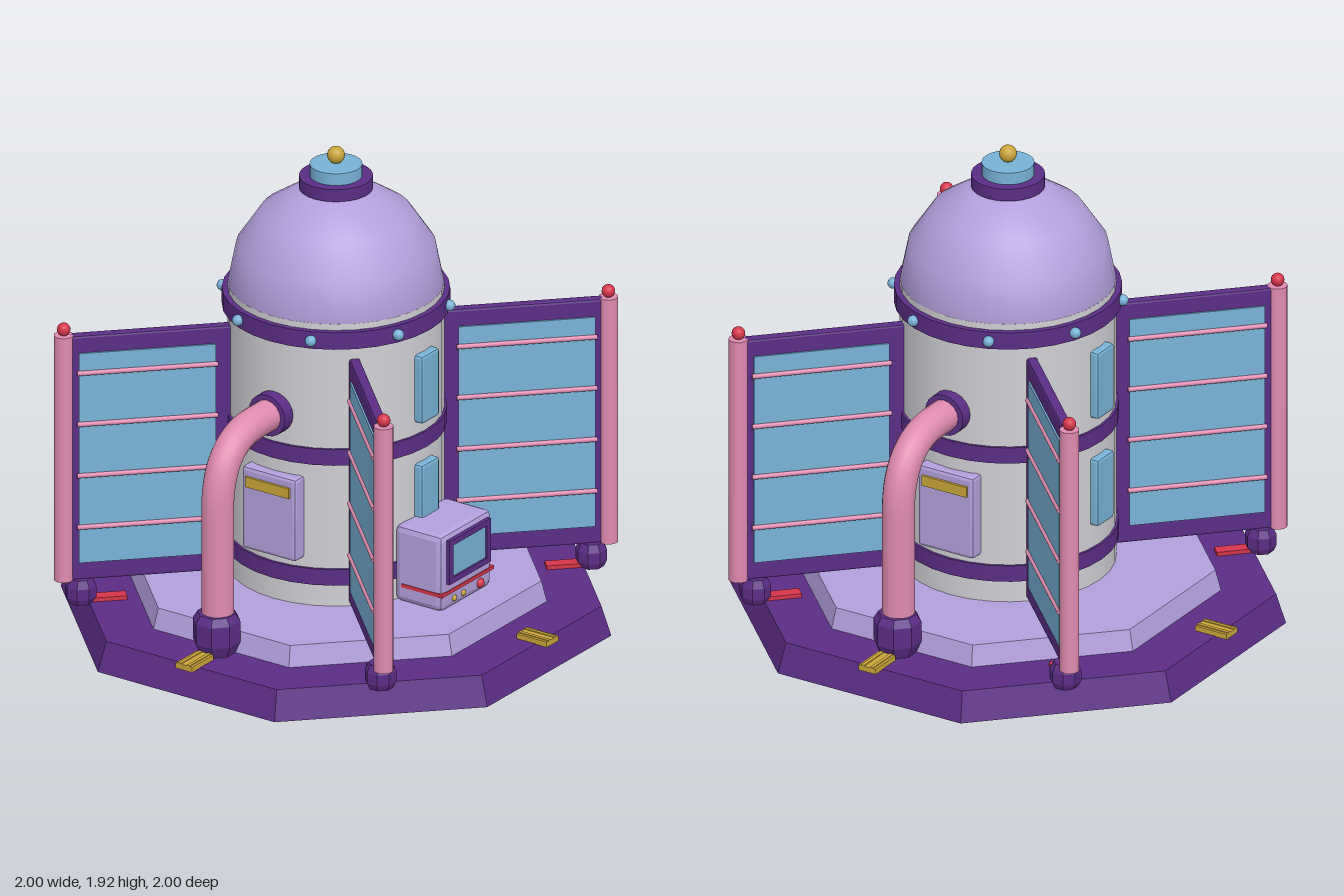
import * as THREE from 'three';
import { toCreasedNormals } from 'three/addons/utils/BufferGeometryUtils.js';
import { RoundedBoxGeometry } from 'three/addons/geometries/RoundedBoxGeometry.js';

const mat = (name, color) => {
  const m = new THREE.MeshStandardMaterial({ color });
  m.name = name;
  return m;
};

export function createModel() {
  const purple = mat('deep purple', 0x5b2d85);
  const lavender = mat('lavender', 0xb39fdb);
  const shell = mat('pale grey', 0xd0d0d5);
  const pink = mat('pink', 0xe08bb0);
  const blue = mat('glass blue', 0x78b2d6);
  const gold = mat('gold', 0xc9a538);
  const red = mat('red', 0xd6354a);

  const root = new THREE.Group();
  root.name = 'domedStation';

  const add = (parent, name, geo, material, x = 0, y = 0, z = 0) => {
    const mesh = new THREE.Mesh(geo, material);
    mesh.name = name;
    mesh.position.set(x, y, z);
    parent.add(mesh);
    return mesh;
  };
  const group = (name, angle = 0) => {
    const g = new THREE.Group();
    g.name = name;
    g.rotation.y = angle;
    root.add(g);
    return g;
  };
  const box = (w, h, d) => new THREE.BoxGeometry(w, h, d);
  // box with small chamfered edges
  const chamfer = (w, h, d, r) => toCreasedNormals(new RoundedBoxGeometry(w, h, d, 1, r), 0.3);
  const disc = (r, h, n = 32) => new THREE.CylinderGeometry(r, r, h, n);
  const ball = (r) => new THREE.SphereGeometry(r, 14, 10);
  // eight-sided solid with flats facing the axes, from [apothem, y] points
  const octagon = (points) => {
    const k = 1 / Math.cos(Math.PI / 8);
    const pts = points.map(([a, y]) => new THREE.Vector2(a * k, y));
    const g = new THREE.LatheGeometry(pts, 8);
    g.rotateY(Math.PI / 8);
    return toCreasedNormals(g, 0.3);
  };

  // stepped base
  add(root, 'basePlate', octagon([[0, 0], [0.985, 0], [0.95, 0.118], [0, 0.118]]), purple);
  add(root, 'upperStep', octagon([[0, 0.11], [0.757, 0.11], [0.735, 0.2], [0, 0.2]]), lavender);

  // tower and its bands
  add(root, 'tower', disc(0.41, 1.165), shell, 0, 0.7825, 0);
  for (const [y, h, r] of [[0.322, 0.066, 0.42], [0.818, 0.066, 0.42], [1.305, 0.07, 0.432]])
    add(root, 'band', disc(r, h), purple, 0, y, 0);
  for (let i = 0; i < 8; i++) {
    const a = (i + 0.5) * Math.PI / 4;
    add(root, 'stud', ball(0.022), blue, 0.44 * Math.cos(a), 1.305, 0.44 * Math.sin(a));
  }

  // dome and finial
  add(root, 'dome', new THREE.SphereGeometry(0.41, 32, 4, 0, Math.PI * 2, 0, Math.PI / 2), lavender, 0, 1.362, 0);
  add(root, 'domeCollar', disc(0.14, 0.05), purple, 0, 1.777, 0);
  add(root, 'domeLens', disc(0.1, 0.05), blue, 0, 1.825, 0);
  add(root, 'finialBall', ball(0.034), gold, 0, 1.885, 0);

  // windows, front and back
  for (const angle of [0, Math.PI]) {
    const g = group('windows', angle);
    for (const y of [0.59, 1.04]) add(g, 'window', chamfer(0.116, 0.28, 0.06, 0.012), blue, 0, y, 0.41);
  }

  // base clamps on four sides
  for (let i = 0; i < 4; i++) {
    const g = group('clamp', i * Math.PI / 2);
    add(g, 'clampPlate', box(0.076, 0.022, 0.14), gold, 0, 0.127, 0.93);
    for (const x of [-0.02, 0.02]) add(g, 'clampRib', box(0.014, 0.005, 0.14), gold, x, 0.139, 0.93);
  }

  // pipes and hatches on both sides
  const pipePath = new THREE.CurvePath();
  const p = (x, y) => new THREE.Vector3(x, y, 0);
  pipePath.add(new THREE.LineCurve3(p(0.4, 0.972), p(0.52, 0.972)));
  pipePath.add(new THREE.QuadraticBezierCurve3(p(0.52, 0.972), p(0.778, 0.972), p(0.778, 0.7)));
  pipePath.add(new THREE.LineCurve3(p(0.778, 0.7), p(0.778, 0.24)));
  for (const angle of [0, Math.PI]) {
    const g = group('sidePipe', angle);
    add(g, 'pipe', new THREE.TubeGeometry(pipePath, 48, 0.063, 16), pink);
    const flange = add(g, 'pipeFlange', disc(0.084, 0.06, 20), purple, 0.425, 0.972, 0);
    flange.rotation.z = Math.PI / 2;
    add(g, 'pipeFoot', octagon([[0, 0.11], [0.065, 0.115], [0.085, 0.165], [0.085, 0.25], [0.068, 0.28], [0, 0.28]]),
      purple, 0.785, 0, 0);
    add(g, 'hatch', chamfer(0.07, 0.34, 0.25, 0.014), lavender, 0.41, 0.56, 0);
    add(g, 'hatchBar', box(0.03, 0.042, 0.2), gold, 0.44, 0.672, 0);
  }

  // four diagonal panels
  for (let i = 0; i < 4; i++) {
    const g = group('panel', Math.PI / 4 + i * Math.PI / 2);
    add(g, 'panelFrame', chamfer(0.63, 1.01, 0.042, 0.01), purple, 0.715, 0.715, 0);
    add(g, 'panelGlass', box(0.525, 0.865, 0.056), blue, 0.728, 0.717, 0);
    for (const side of [-1, 1])
      for (const y of [0.432, 0.645, 0.857, 1.068]) {
        const rail = add(g, 'panelRail', disc(0.01, 0.54, 8), pink, 0.728, y, side * 0.028);
        rail.rotation.z = Math.PI / 2;
      }
    add(g, 'panelPole', disc(0.038, 1.01, 12), pink, 1.045, 0.715, 0);
    add(g, 'poleLight', ball(0.026), red, 1.045, 1.243, 0);
    add(g, 'panelFoot', octagon([[0, 0.112], [0.045, 0.115], [0.056, 0.14], [0.056, 0.185], [0.042, 0.215], [0, 0.215]]),
      purple, 0.98, 0, 0);
    add(g, 'footMarker', box(0.16, 0.018, 0.05), red, 0.885, 0.125, 0);
  }

  // control console at the front
  const c = group('console');
  add(c, 'consoleBody', chamfer(0.335, 0.315, 0.22, 0.025), lavender, 0, 0.358, 0.495);
  add(c, 'consoleStripe', box(0.343, 0.014, 0.19), red, 0, 0.274, 0.515);
  const rect = (T, w, h) => new T([[-w, -h], [w, -h], [w, h], [-w, h]].map(([x, y]) => new THREE.Vector2(x, y)));
  const rim = rect(THREE.Shape, 0.135, 0.09);
  rim.holes.push(rect(THREE.Path, 0.11, 0.066));
  add(c, 'screenFrame', new THREE.ExtrudeGeometry(rim, { depth: 0.02, bevelEnabled: false }), purple, 0, 0.402, 0.6);
  add(c, 'screen', box(0.222, 0.134, 0.009), blue, 0, 0.402, 0.608);
  for (const [x, r, m] of [[-0.085, 0.013, gold], [-0.025, 0.013, gold], [0.085, 0.02, red]])
    add(c, 'button', ball(r), m, x, 0.238, 0.603);

  return root;
}
